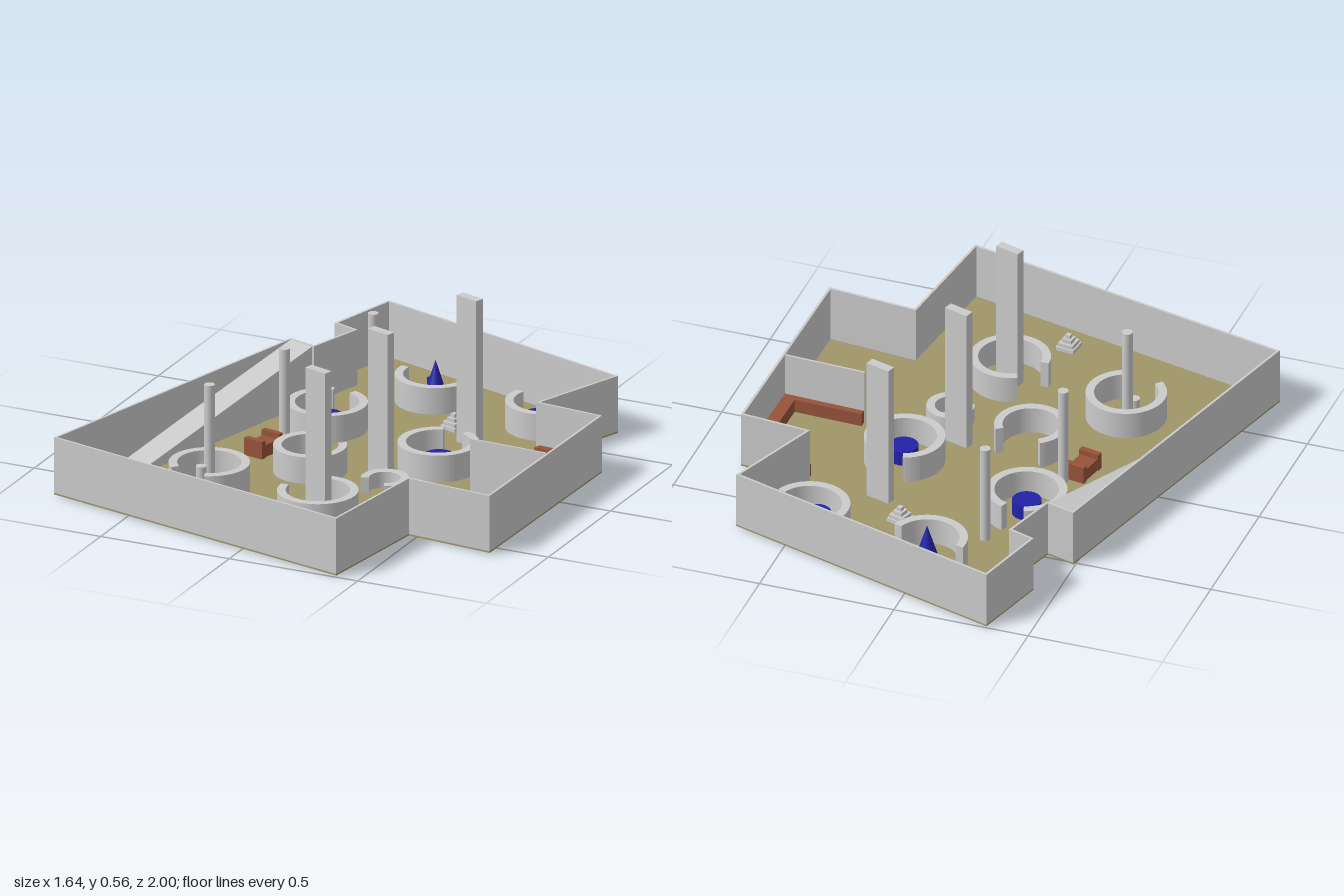
import * as THREE from 'three';

const mat = (color) => new THREE.MeshStandardMaterial({ color, flatShading: true });
const GREY = mat(0xcccccc), OLIVE = mat(0xa09669), BLUE = mat(0x2222a8), BROWN = mat(0x96533b);
const SMOOTH = new THREE.MeshStandardMaterial({ color: 0xcccccc });
const BASE = 0.012, TOP = 0.22;

// Plan outline as [x, z], clockwise seen from above
const OUTLINE = [
  [-0.345, -1], [0.7, -0.685], [0.566, -0.335], [0.817, -0.312], [0.804, 0.567], [0.475, 0.537],
  [0.416, 1], [-0.82, 0.715], [-0.495, -0.52], [-0.39, -0.49], [-0.33, -0.69], [-0.42, -0.72],
];

export function createModel() {
  const model = new THREE.Group();

  function add(name, geometry, material, x = 0, y = 0, z = 0, turn = 0) {
    const mesh = new THREE.Mesh(geometry, material);
    mesh.name = name;
    mesh.position.set(x, y, z);
    mesh.rotation.y = turn;
    model.add(mesh);
  }
  const box = (name, material, w, h, d, x, z, turn = 0, y = BASE) =>
    add(name, new THREE.BoxGeometry(w, h, d), material, x, y + h / 2, z, turn);
  const pillar = (name, material, r, h, x, z, rTop = r) =>
    add(name, new THREE.CylinderGeometry(rTop, r, h, 24), material, x, BASE + h / 2, z);

  // Plan shapes extrude upwards
  const toPoints = (list) => list.map(([x, z]) => new THREE.Vector2(x, -z));
  function raise(shape, height, curveSegments = 24) {
    const g = new THREE.ExtrudeGeometry(shape, { depth: height, bevelEnabled: false, curveSegments });
    return g.rotateX(-Math.PI / 2);
  }

  // Mitred inward offset of a clockwise plan outline
  function inset(list, t) {
    const n = list.length;
    const normal = (a, b) => {
      const dx = b[0] - a[0], dz = b[1] - a[1], l = Math.hypot(dx, dz);
      return [-dz / l, dx / l];
    };
    return list.map((p, i) => {
      const a = normal(list[(i + n - 1) % n], p), b = normal(p, list[(i + 1) % n]);
      const k = t / (1 + a[0] * b[0] + a[1] * b[1]);
      return [p[0] + (a[0] + b[0]) * k, p[1] + (a[1] + b[1]) * k];
    });
  }

  // Floor slab and perimeter wall (the hole runs against the outline, so its faces look inwards)
  add('floor', raise(new THREE.Shape(toPoints(OUTLINE)), 0.006), OLIVE, 0, 0.006, 0);
  const wall = new THREE.Shape(toPoints(OUTLINE));
  wall.holes.push(new THREE.Path(toPoints(inset(OUTLINE, 0.009)).reverse()));
  add('perimeterWall', raise(wall, TOP - BASE), GREY, 0, BASE, 0);

  // Alcove divider and the low benches around the alcove
  box('alcoveDivider', GREY, 0.3, TOP - BASE, 0.008, 0.65, 0.097, -0.04);
  const benches = [
    [0.568, -0.325], [0.807, -0.303], [0.8, 0.097], [0.502, 0.085],
    [0.502, 0.062], [0.754, 0.07], [0.759, -0.26], [0.56, -0.3],
  ];
  add('alcoveBench', raise(new THREE.Shape(toPoints(benches)), 0.05), BROWN, 0, BASE, 0);

  // Wedge ramp climbing along the side wall: high at the back
  const rampPlan = [[-0.495, -0.515], [-0.39, -0.49], [-0.637, 0.475], [-0.735, 0.45]];
  const ramp = raise(new THREE.Shape(toPoints(rampPlan)), TOP - BASE);
  const pos = ramp.attributes.position;
  for (let i = 0; i < pos.count; i++) {
    if (pos.getZ(i) > 0 && pos.getY(i) > 0.1) pos.setY(i, 0.001);
  }
  ramp.computeVertexNormals();
  add('ramp', ramp, GREY, 0, BASE, 0);

  // Open ring walls: x, z, outer radius, start and end angle in degrees, height, base
  const rings = [
    [-0.009, -0.68, 0.143, 171, 343], [0.452, -0.615, 0.143, 160, 339],
    [-0.232, -0.27, 0.143, 105, 432], [0.287, -0.09, 0.143, 107, 428],
    [-0.104, 0.132, 0.13, 124, 395], [0.225, 0.212, 0.085, 293, 565, 0.07, 0],
    [-0.348, 0.439, 0.143, 288, 588], [0.113, 0.52, 0.143, 180, 480],
  ];
  for (const [x, z, r, from, to, h = 0.1, y = BASE] of rings) {
    const a = THREE.MathUtils.degToRad(from), b = THREE.MathUtils.degToRad(to);
    const arc = new THREE.Shape();
    arc.absarc(0, 0, r, a, b, false);
    arc.absarc(0, 0, r - 0.03, b, a, true);
    add('ringWall', raise(arc, h, 32), GREY, x, y, z);
  }

  // Blue drums, cone and markers inside the rings
  for (const [x, z] of [[0.434, -0.593], [-0.231, -0.267], [0.294, -0.08]]) {
    pillar('blueDrum', BLUE, 0.052, 0.055, x, z);
  }
  pillar('blueCone', BLUE, 0.047, 0.15, -0.01, -0.684, 0);
  for (const [x, z] of [[-0.074, -0.776], [0.063, -0.726]]) {
    pillar('blueMarker', BLUE, 0.013, 0.04, x, z);
  }

  // Tall slabs and slim round posts
  for (const [x, z] of [[0.284, -0.349], [0.147, 0.081], [0.114, 0.517]]) {
    box('tallSlab', GREY, 0.094, 0.563 - BASE, 0.034, x, z, -0.29);
  }
  for (const [x, z] of [[-0.365, 0.403], [-0.282, -0.03], [-0.151, -0.474]]) {
    pillar('post', SMOOTH, 0.019, 0.387 - BASE, x, z);
  }
  pillar('shortPost', SMOOTH, 0.019, 0.08, -0.379, 0.44);

  // Stepped plinths
  for (const [x, z, turn] of [[0.169, -0.463, -0.29], [-0.009, 0.786, -0.12], [0.221, 0.806, -0.12]]) {
    [0.068, 0.056, 0.036, 0.018].forEach((w, i) => {
      box('plinthStep', GREY, w, 0.014, w, x, z, turn, BASE + i * 0.014);
    });
  }

  // Brown crate with raised ends
  const crate = new THREE.Group();
  crate.name = 'crate';
  crate.position.set(-0.33, BASE, 0.04);
  crate.rotation.y = -0.2;
  for (const [h, d, z] of [[0.045, 0.08, 0], [0.065, 0.022, -0.05], [0.065, 0.022, 0.05]]) {
    const part = new THREE.Mesh(new THREE.BoxGeometry(z ? 0.078 : 0.07, h, d), BROWN);
    part.name = z ? 'crateEnd' : 'crateBody';
    part.position.set(0, h / 2, z);
    crate.add(part);
  }
  model.add(crate);

  return model;
}
